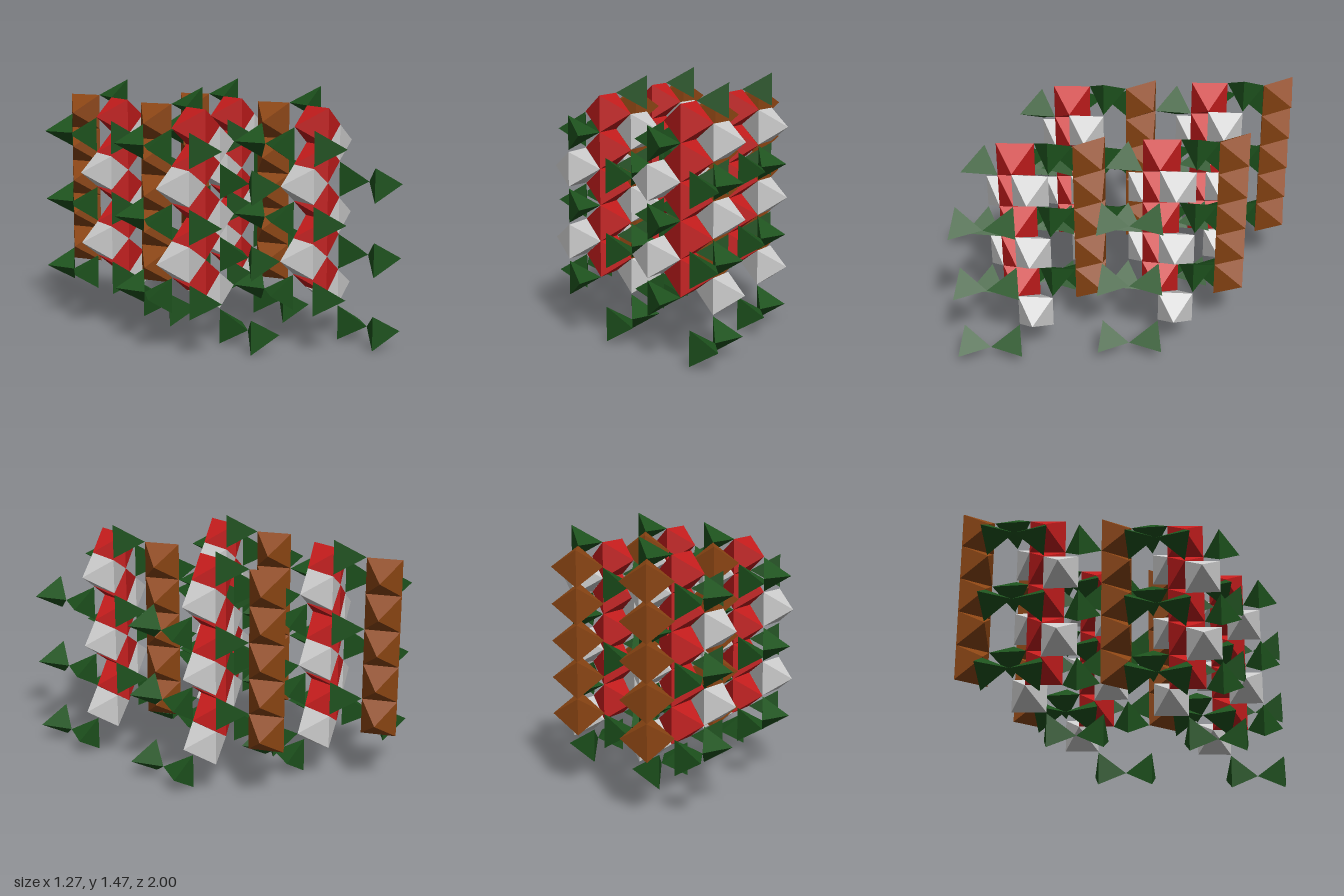
import * as THREE from 'three';
import { ConvexGeometry } from 'three/addons/geometries/ConvexGeometry.js';

const STEP = 0.211;                 // height of one chain link
const BASE = 0.108;                 // height of the lowest layer
const A = [0.619, 0.312];           // plan translation between columns, x
const C = [0.015, 0.812];           // plan translation between columns, z
const ORIGIN = [-0.319, -0.5];      // plan centre of the first red chain

// Plan positions [x, z] of shared corners, relative to the red chain's axis
const rim = [0.005, -0.105], side = [0.151, 0.018], far = [0.167, -0.182], tip = [0.307, -0.0635];
const brownRim = [0.048, 0.09], brownSide = [0.13, -0.068];
const bridge = [-0.228, -0.189], outer = [-0.32, -0.004];
const brownEnd = [-0.138, -0.342], tipBehind = [-0.312, -0.3755], brownBelow = [-0.04, 0.315];

const material = (color) => new THREE.MeshStandardMaterial({ color, flatShading: true });
const neg = ([x, z]) => [-x, -z];
const at = ([x, z], y = 0) => new THREE.Vector3(x, y, z);
const pair = (p, h) => [at(p, h), at(p, -h)];
const solid = (...points) => new ConvexGeometry(points.flat());

// Octahedron sharing its upper and lower edges with its chain neighbours
const chainLink = (r, s) =>
  solid(pair(r, STEP / 2), pair(neg(r), STEP / 2), at(s), at(neg(s)));

// The same solid turned half round about the vertical axis
const turned = (geometry) => geometry.clone().rotateY(Math.PI);

export function createModel() {
  const model = new THREE.Group();
  model.name = 'polyhedralLattice';

  const red = material(0xc41c1c), brown = material(0x8b4513);
  const green = material(0x1d521d), grey = material(0xcccccc);

  const redLink = chainLink(rim, side);
  const brownLink = chainLink(brownRim, brownSide);
  const sideOctahedron = solid(pair(side, 0.103), pair(far, 0.1), at(rim), at(tip));
  const rearTetrahedron = solid(pair(brownEnd, 0.1), at(tipBehind), at(bridge));
  const frontTetrahedron = solid(pair(neg(side), 0.102), at(bridge), at(outer));
  const singleTetrahedron = solid(pair(neg(far), 0.1), at(neg(rim)), at(brownBelow));

  // name, geometry, material, layers it repeats on, plan offset
  const links = [1.5, 2.5, 3.5, 4.5, 5.5], odd = [1, 3, 5];
  const parts = [
    ['redOctahedron', redLink, red, links, [0, 0]],
    ['brownOctahedron', brownLink, brown, links, [-C[0] / 2, -C[1] / 2]],
    ['leftGreyOctahedron', sideOctahedron, grey, odd],
    ['rightGreyOctahedron', turned(sideOctahedron), grey, [2, 4]],
    ['pairedTetrahedronRear', rearTetrahedron, green, odd],
    ['pairedTetrahedronFront', frontTetrahedron, green, odd],
    ['turnedPairTetrahedronFront', turned(rearTetrahedron), green, [0, 2, 4]],
    ['turnedPairTetrahedronRear', turned(frontTetrahedron), green, [0, 2, 4]],
    ['frontSingleTetrahedron', singleTetrahedron, green, odd],
    ['rearSingleTetrahedron', turned(singleTetrahedron), green, [2, 4, 6]],
  ];

  // Two by two columns, each holding every part on its own layers
  for (let i = 0; i < 2; i++) {
    for (let j = 0; j < 2; j++) {
      const column = new THREE.Group();
      column.name = `column${i}${j}`;
      column.position.set(
        ORIGIN[0] + i * A[0] + j * C[0], 0, ORIGIN[1] + i * A[1] + j * C[1]);
      for (const [name, geometry, mat, layers, [dx, dz] = [0, 0]] of parts) {
        for (const layer of layers) {
          const mesh = new THREE.Mesh(geometry, mat);
          mesh.name = name;
          mesh.position.set(dx, BASE + layer * STEP, dz);
          column.add(mesh);
        }
      }
      model.add(column);
    }
  }
  return model;
}
